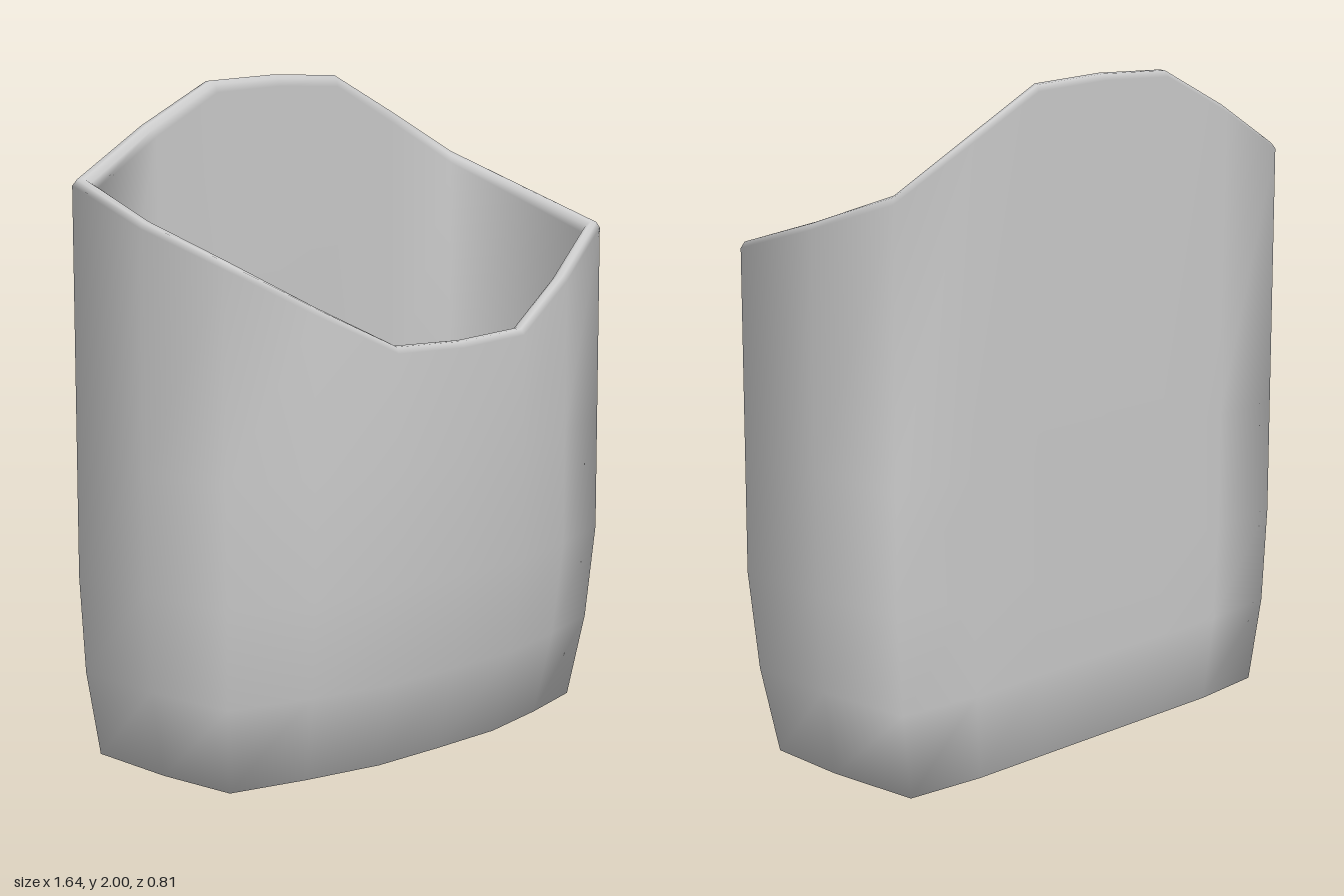
import * as THREE from 'three';
import { mergeVertices } from 'three/addons/utils/BufferGeometryUtils.js';

// Half outline of the pouch, front centre to back centre: [x, z, rim height]
const half = [
  [0, 0.405, 1.26], [0.27, 0.4, 1.27], [0.54, 0.335, 1.4], [0.8, 0.25, 1.54],
  [0.818, -0.07, 1.63], [0.8, -0.38, 1.73], [0.53, -0.405, 1.87], [0.27, -0.405, 1.99], [0, -0.405, 2],
];
const outline = [...half, ...half.slice(1, -1).reverse().map(([x, z, h]) => [-x, z, h])];

// Wall levels: [height, x scale, front z scale, back z scale]
const levels = [
  [0.025, 0.925, 0.765, 0.965], [0.28, 0.975, 0.91, 1], [0.57, 1, 1, 1], [0.92, 1, 1, 1],
];

// Ring at a wall level, moved inward by d
function wallRing([y, sx, sf, sb], d) {
  return outline.map(([x, z]) => [
    x * sx * (1 - d / 0.81), Math.max(y, d ? 0.07 : 0), z * (z > 0 ? sf : sb) * (1 - d / 0.405)]);
}

// Ring following the curved rim, lowered by drop and moved inward by d
function rimRing(drop, d) {
  return outline.map(([x, z, h]) => [x * (1 - d / 0.81), h - drop, z * (1 - d / 0.405)]);
}

// Shrinks a bottom ring towards the middle of the base
function baseRing(ring, scale, y) {
  return ring.map(([x, , z]) => [x * scale, y, -0.04 + (z + 0.04) * scale]);
}

// Closed loops joined into one smooth skin
function loft(rings) {
  const n = outline.length, index = [];
  for (let r = 0; r < rings.length - 1; r++) {
    for (let i = 0; i < n; i++) {
      const j = (i + 1) % n;
      const a = r * n + i, b = r * n + j, c = b + n, d = a + n;
      if (r > 0) index.push(a, b, c);
      if (r < rings.length - 2) index.push(a, c, d);
      else if (r === 0) index.push(a, c, d);
    }
  }
  let geometry = new THREE.BufferGeometry();
  geometry.setAttribute('position', new THREE.Float32BufferAttribute(rings.flat(2), 3));
  geometry.setIndex(index);
  geometry = mergeVertices(geometry, 1e-4);
  geometry.computeVertexNormals();
  return geometry;
}

export function createModel() {
  const group = new THREE.Group();
  group.name = 'openPouch';
  const inset = 0.048;
  const outerBase = wallRing(levels[0], 0);
  const innerBase = wallRing(levels[0], inset);

  const rings = [
    // underside, slightly domed
    baseRing(outerBase, 0, 0),
    baseRing(outerBase, 0.65, 0.004),
    // outer wall
    ...levels.map((l) => wallRing(l, 0)),
    rimRing(0.02, 0),
    // rounded rim
    rimRing(0.002, 0.01),
    rimRing(0, 0.025),
    rimRing(0.012, 0.04),
    rimRing(0.035, inset),
    // inner wall
    ...levels.map((l) => wallRing(l, inset)).reverse(),
    // inner floor
    baseRing(innerBase, 0.65, 0.05),
    baseRing(innerBase, 0, 0.045),
  ];

  const material = new THREE.MeshStandardMaterial({ color: 0xcccccc });
  const shell = new THREE.Mesh(loft(rings), material);
  shell.name = 'pouchShell';
  group.add(shell);
  return group;
}
